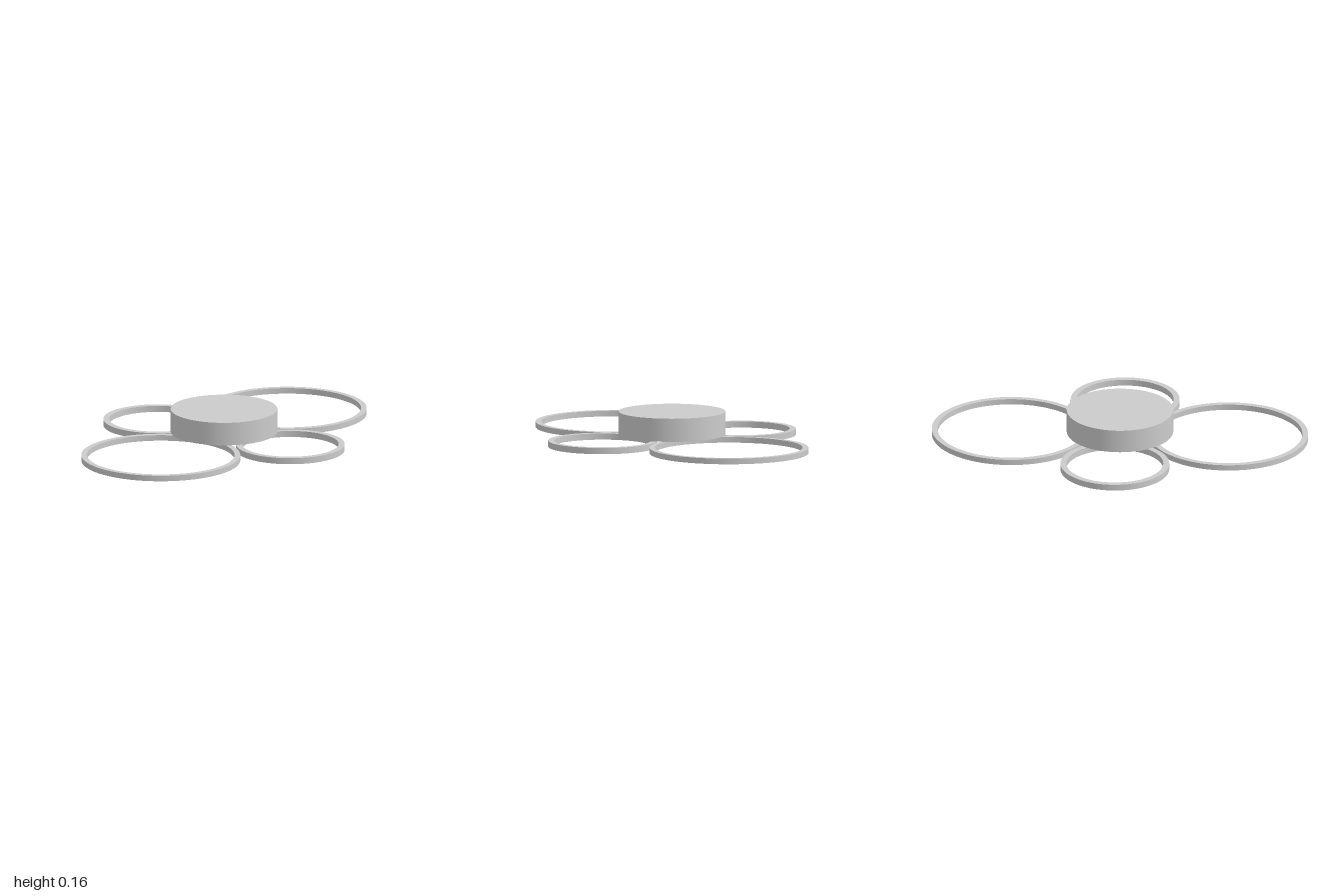
import * as THREE from 'three';

const material = new THREE.MeshStandardMaterial({ color: 0xcccccc });

// Flat ring with a rectangular section, lying on the ground plane
function ring(name, outer, inner, bottom, top, x, z) {
  const shape = new THREE.Shape().absarc(0, 0, outer, 0, Math.PI * 2);
  shape.holes.push(new THREE.Path().absarc(0, 0, inner, 0, Math.PI * 2, true));
  const geometry = new THREE.ExtrudeGeometry(shape, {
    depth: top - bottom, bevelEnabled: false, curveSegments: 96,
  });
  geometry.rotateX(-Math.PI / 2);
  // Smooth the round walls, keep the flat faces flat
  const p = geometry.attributes.position, n = geometry.attributes.normal;
  for (let i = 0; i < p.count; i++) {
    if (Math.abs(n.getY(i)) > 0.5) continue;
    const r = Math.hypot(p.getX(i), p.getZ(i));
    const s = r > (outer + inner) / 2 ? 1 : -1;
    n.setXYZ(i, s * p.getX(i) / r, 0, s * p.getZ(i) / r);
  }
  const mesh = new THREE.Mesh(geometry, material);
  mesh.name = name;
  mesh.position.set(x, bottom, z);
  return mesh;
}

export function createModel() {
  const group = new THREE.Group();
  group.name = 'ringCeilingLamp';

  // Round central housing resting on the rings
  const bottom = 0.033, top = 0.157;
  const hub = new THREE.Mesh(new THREE.CylinderGeometry(0.283, 0.283, top - bottom, 96), material);
  hub.name = 'hub';
  hub.position.y = (bottom + top) / 2;
  group.add(hub);

  // Two large rings front and back, two small ones at the sides
  for (const s of [1, -1]) {
    group.add(ring(s > 0 ? 'largeRingFront' : 'largeRingBack', 0.422, 0.392, 0.003, bottom, 0, s * 0.578));
    group.add(ring(s > 0 ? 'smallRingLeft' : 'smallRingRight', 0.289, 0.257, 0, bottom, s * 0.432, 0));
  }
  return group;
}
